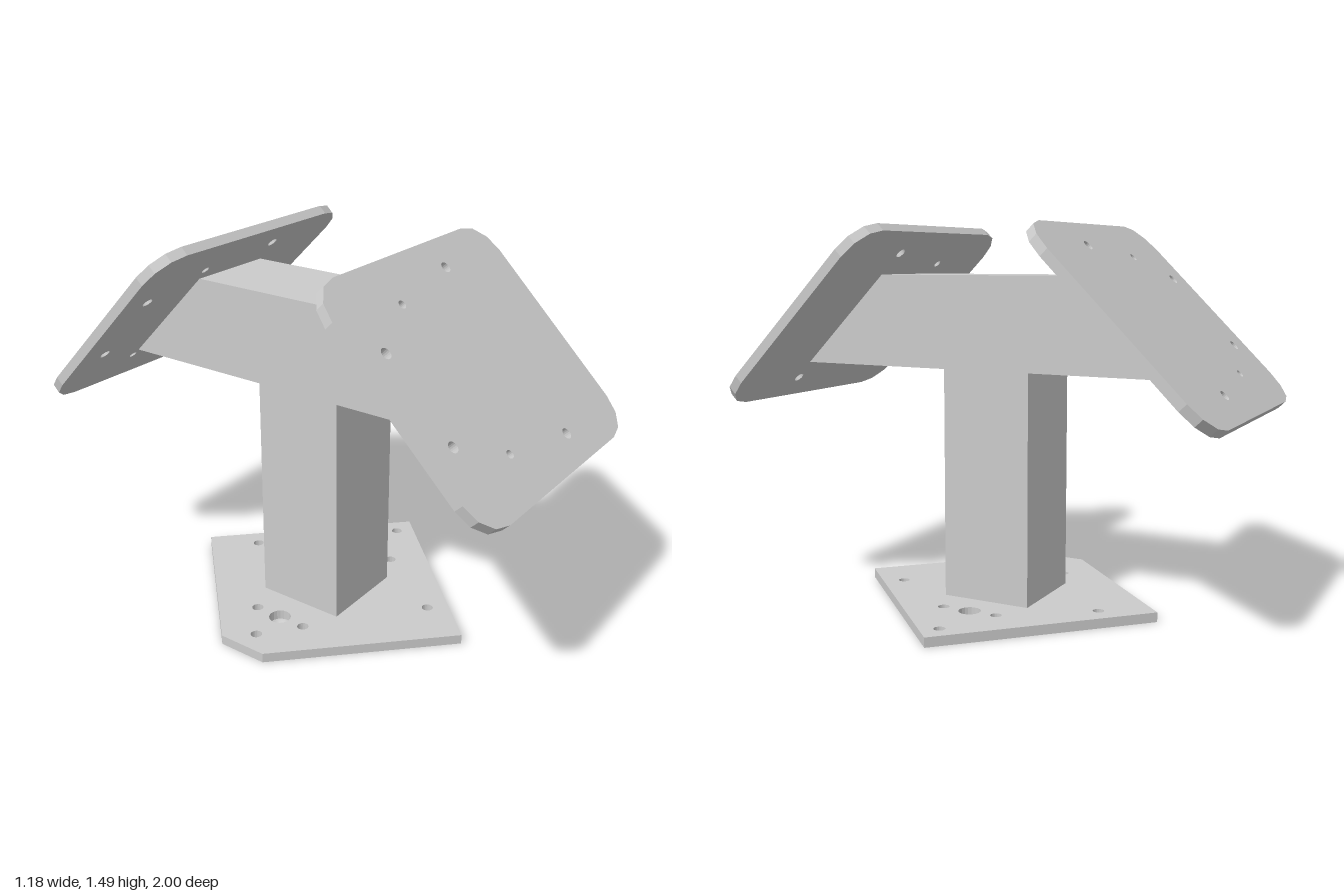
import * as THREE from 'three';

const material = new THREE.MeshStandardMaterial({ color: 0xcccccc });
const T = 0.038; // plate thickness

const toShape = (points) => new THREE.Shape(points.map(([x, y]) => new THREE.Vector2(x, y)));

function drill(shape, x, y, r) {
  const hole = new THREE.Path();
  hole.absarc(x, y, r, 0, Math.PI * 2, true);
  shape.holes.push(hole);
}

const extrude = (shape, depth) =>
  new THREE.ExtrudeGeometry(shape, { depth, bevelEnabled: false, curveSegments: 10 });

function addMesh(group, name, geometry) {
  const mesh = new THREE.Mesh(geometry, material);
  mesh.name = name;
  group.add(mesh);
  return mesh;
}

// Rectangle whose corners are rounded in a few flat facets
function facetedRectangle(x0, x1, y0, y1, r, steps) {
  const points = [];
  const centres = [[x1 - r, y1 - r], [x0 + r, y1 - r], [x0 + r, y0 + r], [x1 - r, y0 + r]];
  centres.forEach(([cx, cy], corner) => {
    for (let i = 0; i <= steps; i++) {
      const a = (corner + i / steps) * Math.PI / 2;
      points.push([cx + r * Math.cos(a), cy + r * Math.sin(a)]);
    }
  });
  return toShape(points);
}

export function createModel() {
  const group = new THREE.Group();
  group.name = 'doublePlateStand';

  // Diamond base plate with one corner cut off
  const base = toShape([[0.59, 0], [-0.05, 0.64], [-0.59, 0.1], [-0.59, -0.1], [-0.05, -0.64]]);
  for (const x of [-0.36, 0.26]) {
    drill(base, x, 0, 0.043);
    for (const side of [-1, 1]) drill(base, x, side * 0.113, 0.022);
  }
  for (const x of [-0.505, 0.485]) drill(base, x, 0, 0.022);
  for (const side of [-1, 1]) drill(base, 0.035, side * 0.435, 0.022);
  addMesh(group, 'basePlate', extrude(base, T).rotateX(-Math.PI / 2));

  // Square post and crossbeam with mitred ends, as one T profile
  const tee = toShape([
    [-0.18, T], [0.18, T], [0.18, 0.94], [0.82, 0.94],
    [0.46, 1.3], [-0.46, 1.3], [-0.82, 0.94], [-0.18, 0.94],
  ]);
  addMesh(group, 'postAndCrossbeam', extrude(tee, 0.36).rotateY(Math.PI / 2).translate(-0.23, 0, 0));

  // Sloping mounting plates, front and back
  const plate = facetedRectangle(-0.59, 0.49, -0.476, 0.476, 0.135, 3);
  for (const side of [-1, 1]) {
    drill(plate, -0.46, side * 0.18, 0.021);
    drill(plate, -0.235, side * 0.302, 0.016);
    drill(plate, 0.113, side * 0.361, 0.021);
  }
  const plateGeometry = extrude(plate, T).translate(0, 0, -T / 2);
  const front = addMesh(group, 'frontMountingPlate', plateGeometry);
  front.position.set(0, 1.14, 0.65);
  front.rotation.x = -Math.PI / 4;
  const back = addMesh(group, 'backMountingPlate', plateGeometry);
  back.position.set(0, 1.14, -0.65);
  back.rotation.x = -Math.PI * 3 / 4;

  return group;
}
